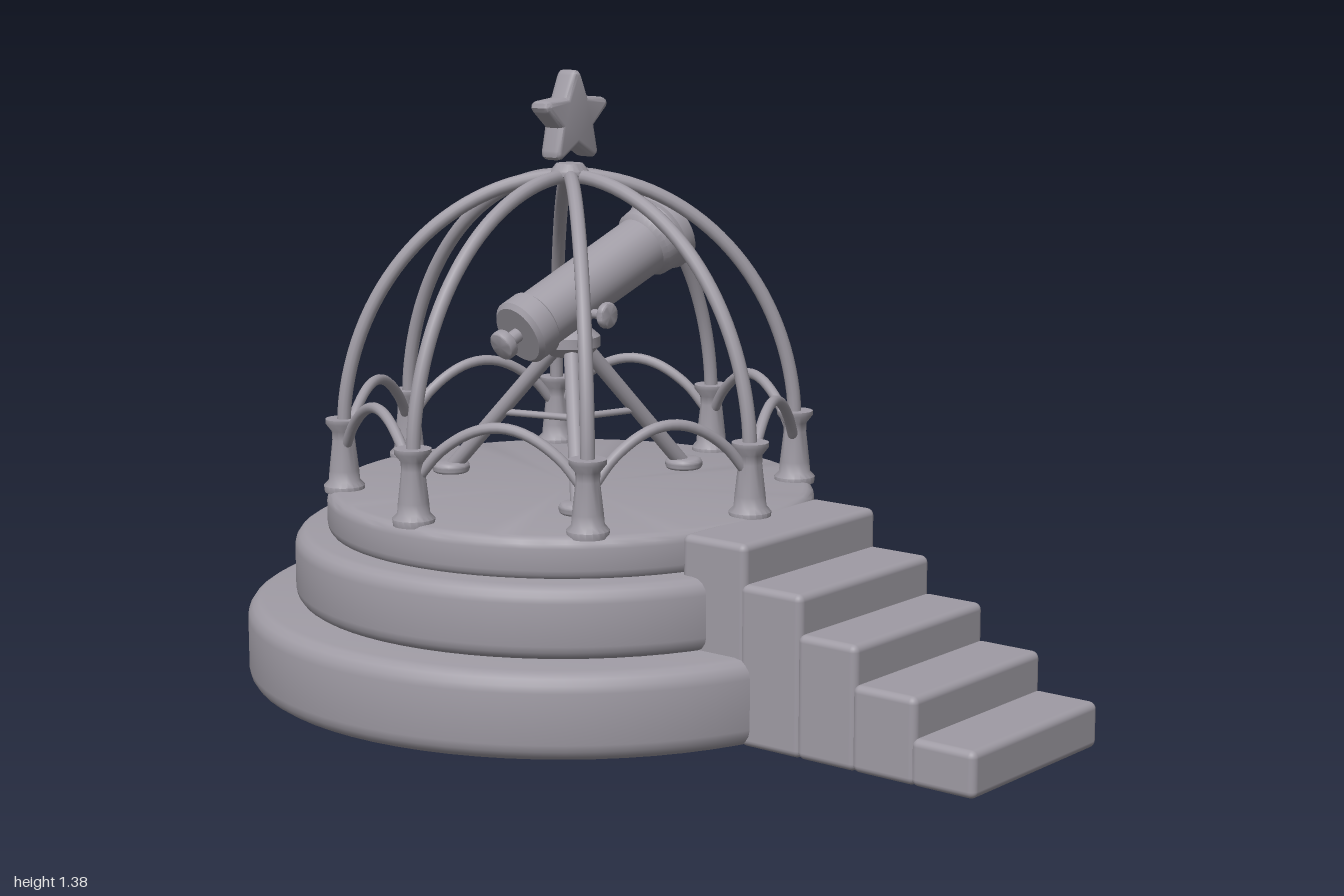
import * as THREE from 'three';
import { toCreasedNormals } from 'three/addons/utils/BufferGeometryUtils.js';
import { RoundedBoxGeometry } from 'three/addons/geometries/RoundedBoxGeometry.js';

const stone = new THREE.MeshStandardMaterial({ color: 0x9f9ba4 });
stone.name = 'warm grey';
const V = (x, y, z) => new THREE.Vector3(x, y, z);
const UP = V(0, 1, 0);

function add(parent, name, geometry, x = 0, y = 0, z = 0) {
  const mesh = new THREE.Mesh(geometry, stone);
  mesh.name = name;
  mesh.position.set(x, y, z);
  parent.add(mesh);
  return mesh;
}

// Turned solid from [radius, height] pairs, listed bottom to top
function turned(points, segments = 24, crease = 0.7) {
  const profile = points.map(([r, y]) => new THREE.Vector2(r, y));
  return toCreasedNormals(new THREE.LatheGeometry(profile, segments), crease);
}

// Disc with rounded rims
function roundedDisc(radius, y0, y1, b, segments = 72) {
  const pts = [[0, y0]];
  for (let i = 0; i <= 4; i++) {
    const a = (i / 4) * Math.PI / 2;
    pts.push([radius - b + b * Math.sin(a), y0 + b - b * Math.cos(a)]);
  }
  for (let i = 0; i <= 4; i++) {
    const a = (i / 4) * Math.PI / 2;
    pts.push([radius - b + b * Math.cos(a), y1 - b + b * Math.sin(a)]);
  }
  pts.push([0, y1]);
  return turned(pts, segments);
}

// Round bar between two points
function bar(parent, name, a, b, r0, r1 = r0) {
  const d = b.clone().sub(a);
  const mesh = add(parent, name, new THREE.CylinderGeometry(r1, r0, d.length(), 14));
  mesh.position.copy(a).addScaledVector(d, 0.5);
  mesh.quaternion.setFromUnitVectors(UP, d.normalize());
  return mesh;
}

function tube(parent, name, points, radius, segments) {
  const curve = new THREE.CatmullRomCurve3(points);
  return add(parent, name, new THREE.TubeGeometry(curve, segments, radius, 12));
}

function addStairs(model) {
  const stairs = new THREE.Group();
  stairs.name = 'stairs';
  const fronts = [1, 0.857, 0.71, 0.57, 0.425];
  const backs = [0.845, 0.7, 0.56, 0.41, 0.255];
  const tops = [0.1, 0.185, 0.267, 0.35, 0.435];
  fronts.forEach((f, i) => {
    const box = new RoundedBoxGeometry(0.474, tops[i], f - backs[i], 3, 0.016);
    add(stairs, 'step' + (i + 1), box, 0, tops[i] / 2, (f + backs[i]) / 2);
  });
  model.add(stairs);
}

function addDome(pavilion) {
  const R = 0.516;
  const post = turned([
    [0, 0.43], [0.045, 0.43], [0.047, 0.445], [0.036, 0.457], [0.034, 0.48],
    [0.026, 0.55], [0.027, 0.57], [0.041, 0.588], [0.041, 0.598], [0, 0.598],
  ], 20, 0.9);
  const corner = (i) => V(R * Math.sin(i * Math.PI / 4), 0, R * Math.cos(i * Math.PI / 4));
  for (let i = 0; i < 8; i++) {
    const p = corner(i), q = corner(i + 1);
    add(pavilion, 'post', post, p.x, 0, p.z);
    // Dome rib rising to the crown
    const rib = [], arch = [];
    for (let k = 0; k <= 12; k++) {
      const a = (k / 12) * Math.PI / 2;
      rib.push(p.clone().multiplyScalar(Math.cos(a)).setY(0.56 + 0.585 * Math.sin(a)));
    }
    tube(pavilion, 'domeRib', rib, 0.016, 32);
    // Railing arch to the next post
    for (let k = 0; k <= 10; k++) {
      const t = k / 10;
      arch.push(p.clone().lerp(q, 0.04 + 0.92 * t).setY(0.54 + 0.113 * Math.pow(Math.sin(Math.PI * t), 0.8)));
    }
    tube(pavilion, 'railingArch', arch, 0.012, 24);
  }
  add(pavilion, 'crownCap', turned([
    [0, 1.125], [0.03, 1.13], [0.044, 1.145], [0.044, 1.155], [0.03, 1.172], [0, 1.175],
  ], 20));
  // Rounded five-pointed star
  const shape = new THREE.Shape();
  const at = (i) => {
    const r = i % 2 ? 0.046 : 0.1, a = i * Math.PI / 5;
    return new THREE.Vector2(r * Math.sin(a), r * Math.cos(a));
  };
  for (let i = 0; i < 10; i += 2) {
    const tip = at(i);
    const a = tip.clone().lerp(at(i + 9), 0.14), b = tip.clone().lerp(at(i + 1), 0.14);
    if (i) shape.lineTo(a.x, a.y); else shape.moveTo(a.x, a.y);
    shape.quadraticCurveTo(tip.x, tip.y, b.x, b.y);
    shape.lineTo(at(i + 1).x, at(i + 1).y);
  }
  shape.closePath();
  const star = new THREE.ExtrudeGeometry(shape, {
    depth: 0.028, bevelEnabled: true, bevelThickness: 0.015, bevelSize: 0.012, bevelSegments: 3, curveSegments: 5,
  });
  star.translate(0, 0, -0.014);
  add(pavilion, 'star', toCreasedNormals(star, 0.7), 0, 1.273, 0);
}

function addTripod(pavilion) {
  const tripod = new THREE.Group();
  tripod.name = 'tripod';
  const foot = roundedDisc(0.044, 0.435, 0.462, 0.012, 20);
  for (let i = 0; i < 3; i++) {
    const a = (16 + i * 120) * Math.PI / 180;
    const out = (r, y) => V(r * Math.cos(a), y, r * Math.sin(a));
    bar(tripod, 'tripodLeg', out(0.31, 0.45), out(0.03, 0.76), 0.018);
    bar(tripod, 'tripodBrace', out(0, 0.59), out(0.185, 0.59), 0.008);
    const p = out(0.315, 0);
    add(tripod, 'tripodFoot', foot, p.x, 0, p.z);
  }
  add(tripod, 'tripodHead', turned([
    [0, 0.735], [0.045, 0.735], [0.068, 0.757], [0.068, 0.78], [0.045, 0.8], [0, 0.8],
  ], 20));
  pavilion.add(tripod);
}

function addTelescope(pavilion) {
  const back = V(-0.2, 0.808, 0.02), front = V(0.245, 1.01, 0.084);
  const axis = front.clone().sub(back);
  const L = axis.length();
  const scope = new THREE.Group();
  scope.name = 'telescope';
  scope.position.copy(back);
  scope.quaternion.setFromUnitVectors(UP, axis.normalize());
  // Body with a rear collar and a hollow front hood
  add(scope, 'barrel', turned([
    [0, 0], [0.066, 0], [0.076, 0.01], [0.076, 0.055], [0.068, 0.062], [0.07, L - 0.09],
    [0.08, L - 0.08], [0.084, L - 0.035], [0.09, L - 0.03], [0.09, L - 0.004], [0.086, L],
    [0.068, L], [0.064, L - 0.01], [0.062, L - 0.06], [0, L - 0.06],
  ], 32));
  add(scope, 'eyepieceNeck', new THREE.CylinderGeometry(0.016, 0.016, 0.06, 14), 0, -0.015, 0);
  add(scope, 'eyepiece', roundedDisc(0.034, -0.056, -0.03, 0.007, 20));
  pavilion.add(scope);

  // Mount between the head and the barrel, with a knob and a side wheel
  bar(pavilion, 'mountNeck', V(0, 0.77, 0), V(0, 0.87, 0.02), 0.035);
  bar(pavilion, 'knobStem', V(-0.043, 0.845, 0), V(-0.043, 0.845, 0.15), 0.011);
  const knob = add(pavilion, 'knob', roundedDisc(0.03, -0.01, 0.01, 0.008, 20), -0.043, 0.845, 0.146);
  knob.rotation.x = Math.PI / 2;
  bar(pavilion, 'wheelAxle', V(-0.015, 0.83, 0), V(-0.015, 0.83, -0.08), 0.022);
  const wheel = add(pavilion, 'sideWheel', roundedDisc(0.058, -0.015, 0.015, 0.013, 24), -0.015, 0.83, -0.072);
  wheel.rotation.x = Math.PI / 2;
}

export function createModel() {
  const model = new THREE.Group();
  model.name = 'observatoryPavilion';
  const pavilion = new THREE.Group();
  pavilion.name = 'pavilion';
  pavilion.position.z = -0.26;
  model.add(pavilion);

  // Three stacked round tiers
  add(pavilion, 'lowerTier', roundedDisc(0.74, 0, 0.19, 0.04));
  add(pavilion, 'middleTier', roundedDisc(0.63, 0.185, 0.347, 0.035));
  add(pavilion, 'upperTier', roundedDisc(0.556, 0.34, 0.437, 0.025));

  addStairs(model);
  addDome(pavilion);
  addTripod(pavilion);
  addTelescope(pavilion);
  return model;
}
